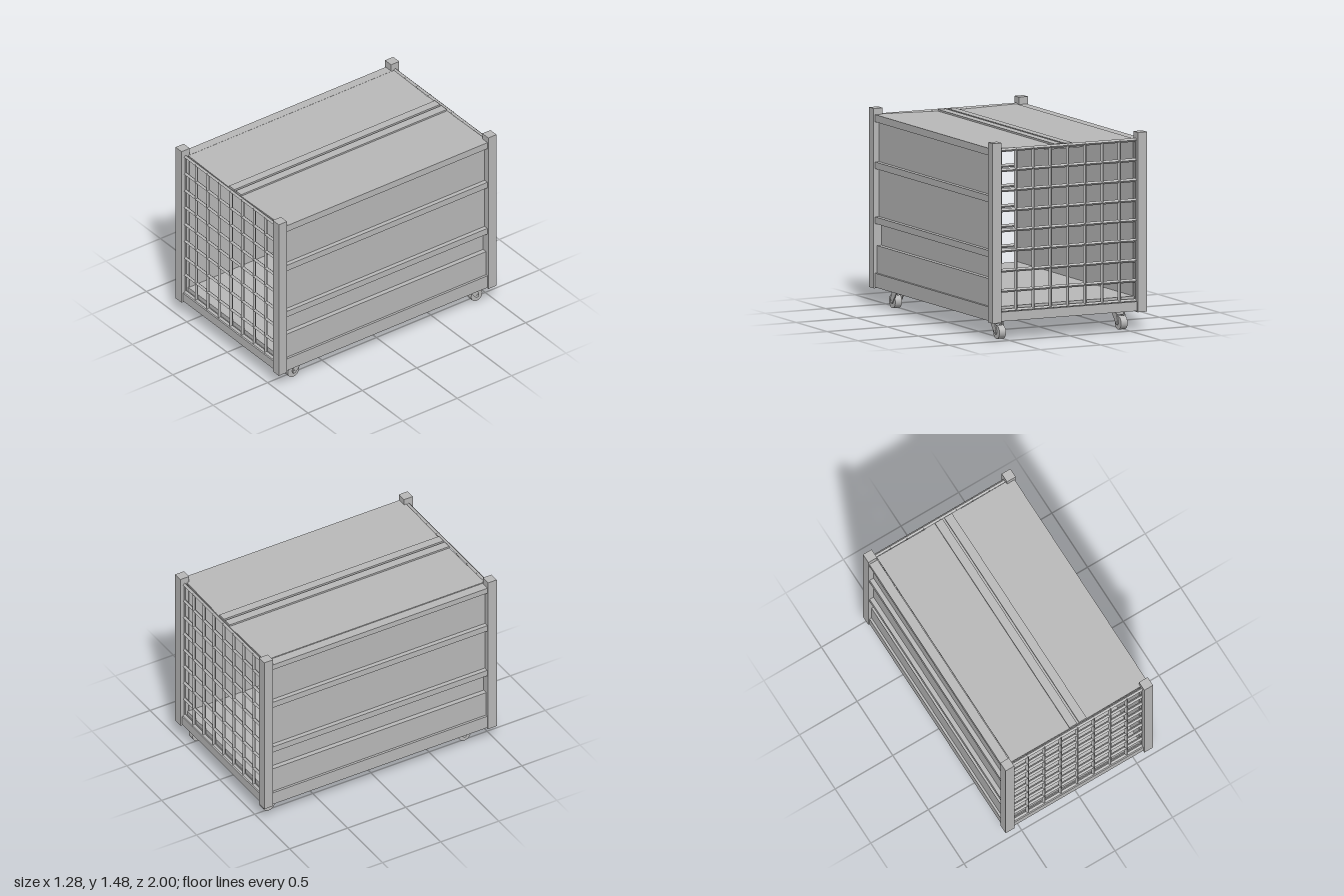
import * as THREE from 'three';

const gray = new THREE.MeshStandardMaterial({ color: 0xb8b8b8 });
gray.name = 'light gray metal';

// Box given by its minimum and maximum corners
function box(parent, name, x0, x1, y0, y1, z0, z1) {
  const mesh = new THREE.Mesh(new THREE.BoxGeometry(x1 - x0, y1 - y0, z1 - z0), gray);
  mesh.position.set((x0 + x1) / 2, (y0 + y1) / 2, (z0 + z1) / 2);
  mesh.name = name;
  parent.add(mesh);
  return mesh;
}

// Grille of square bars turned on edge
function makeGrille(z) {
  const grille = new THREE.Group();
  grille.name = 'grille';
  const side = 0.02;
  for (let i = 0; i < 9; i++) {
    const bar = new THREE.Mesh(new THREE.BoxGeometry(1.14, side, side), gray);
    bar.rotation.x = Math.PI / 4;
    bar.position.set(0, 0.22 + i * 0.15, z);
    bar.name = 'horizontalBar';
    grille.add(bar);
  }
  for (let i = -4; i <= 4; i++) {
    const bar = new THREE.Mesh(new THREE.BoxGeometry(side, 1.21, side), gray);
    bar.rotation.y = Math.PI / 4;
    bar.position.set(i * 0.143, 0.82, z);
    bar.name = 'verticalBar';
    grille.add(bar);
  }
  return grille;
}

// Roof half with a slight slope towards the middle
function makeRoofPanel(xa, ya, xb, yb) {
  const s = new THREE.Shape([
    new THREE.Vector2(xa, ya - 0.012), new THREE.Vector2(xb, yb - 0.012),
    new THREE.Vector2(xb, yb), new THREE.Vector2(xa, ya),
  ]);
  const geo = new THREE.ExtrudeGeometry(s, { depth: 1.89, bevelEnabled: false });
  geo.translate(0, 0, -0.945);
  const mesh = new THREE.Mesh(geo, gray);
  mesh.name = 'roofPanel';
  return mesh;
}

// Swivel caster whose wheel trails towards +z
function makeCaster() {
  const caster = new THREE.Group();
  caster.name = 'caster';
  const wheel = new THREE.Mesh(new THREE.CylinderGeometry(0.051, 0.051, 0.054, 28), gray);
  wheel.rotation.z = Math.PI / 2;
  wheel.position.set(0, 0.052, 0.06);
  wheel.name = 'wheel';
  caster.add(wheel);

  const profile = new THREE.Shape([
    new THREE.Vector2(-0.045, 0.146), new THREE.Vector2(0.04, 0.146),
    new THREE.Vector2(0.076, 0.056), new THREE.Vector2(0.066, 0.036),
    new THREE.Vector2(0.048, 0.036),
  ]);
  for (const x of [-0.029, 0.037]) {
    const geo = new THREE.ExtrudeGeometry(profile, { depth: 0.008, bevelEnabled: false });
    geo.rotateY(-Math.PI / 2);
    const plate = new THREE.Mesh(geo, gray);
    plate.position.x = x;
    plate.name = 'forkPlate';
    caster.add(plate);
  }
  box(caster, 'forkCrown', -0.03, 0.03, 0.108, 0.146, -0.03, 0.04);
  const axle = new THREE.Mesh(new THREE.CylinderGeometry(0.012, 0.012, 0.08, 12), gray);
  axle.rotation.z = Math.PI / 2;
  axle.position.copy(wheel.position);
  axle.name = 'axle';
  caster.add(axle);
  return caster;
}

export function createModel() {
  const model = new THREE.Group();
  model.name = 'wheeledCage';

  // Base and floor
  box(model, 'base', -0.63, 0.63, 0.145, 0.215, -0.985, 0.985);
  box(model, 'floor', -0.57, 0.57, 0.2, 0.25, -0.94, 0.94);

  // Side walls: [name, bottom, top, outer distance from the centre]
  const bands = [
    ['sill', 0.2, 0.25, 0.63],
    ['lowerPanel', 0.25, 0.455, 0.612],
    ['recessedPanel', 0.455, 0.62, 0.575],
    ['sideRail', 0.62, 0.67, 0.628],
    ['middlePanel', 0.67, 1.03, 0.594],
    ['sideRail', 1.03, 1.08, 0.628],
    ['upperPanel', 1.08, 1.38, 0.594],
    ['topRail', 1.38, 1.425, 0.63],
  ];
  for (const s of [-1, 1]) {
    const wall = new THREE.Group();
    wall.name = s > 0 ? 'leftWall' : 'rightWall';
    for (const [name, y0, y1, outer] of bands) {
      const xs = [s * 0.56, s * outer].sort((a, b) => a - b);
      box(wall, name, xs[0], xs[1], y0, y1, -0.93, 0.93);
    }
    model.add(wall);

    // Corner posts
    for (const t of [-1, 1]) {
      const x = s * 0.602, z = t * 0.9625;
      box(model, 'cornerPost', x - 0.0375, x + 0.0375, 0.137, 1.48, z - 0.0375, z + 0.0375);
    }
    model.add(makeGrille(s * 0.963));
  }

  // Roof halves and the raised seam strips between them
  model.add(makeRoofPanel(-0.555, 1.428, 0.02, 1.418));
  model.add(makeRoofPanel(0.02, 1.418, 0.63, 1.434));
  box(model, 'seamStrip', -0.05, 0.015, 1.405, 1.433, -0.945, 0.945);
  box(model, 'seamStrip', 0.032, 0.098, 1.405, 1.433, -0.945, 0.945);
  box(model, 'seamBracket', -0.13, 0.18, 1.395, 1.42, -0.953, -0.943);

  // Casters at the four corners
  for (const x of [-0.485, 0.523]) {
    const front = makeCaster();
    front.position.set(x, 0, 0.74);
    const back = makeCaster();
    back.rotation.y = Math.PI;
    back.position.set(x, 0, -0.825);
    model.add(front, back);
  }
  return model;
}
